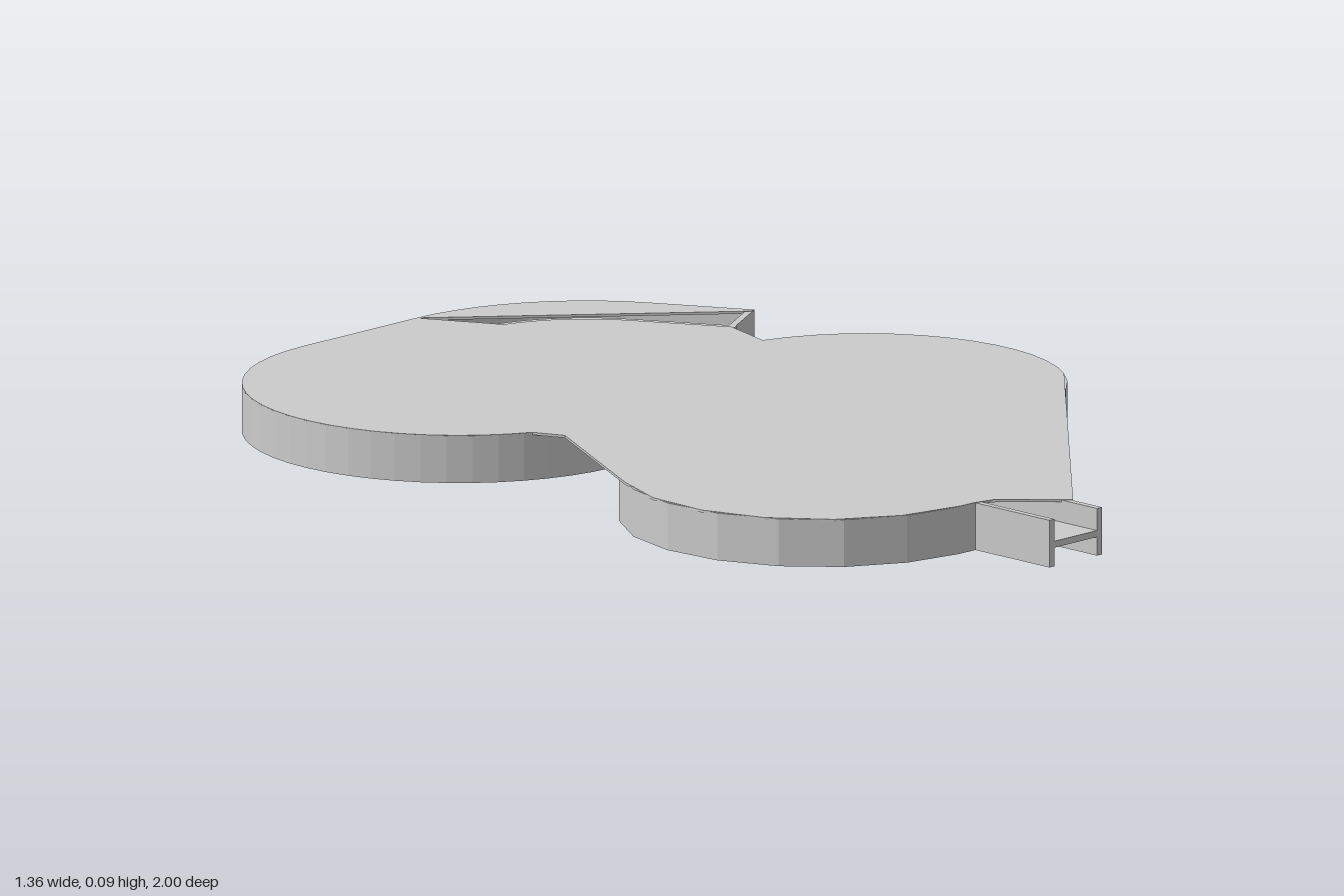
import * as THREE from 'three';

const H = 0.095;       // overall height
const HALF = 0.073;    // half width of the channel
const WALL = 0.014;    // wall thickness
const material = new THREE.MeshStandardMaterial({ color: 0xcccccc, flatShading: true });

// Bend centres [x, z] and centreline radii, in order along the channel
const B0 = [0.05, -0.54, 0.387];
const B1 = [-0.262, -0.58, 0.347];
const B2 = [0.29, -0.02, 0.317];
const B3 = [-0.275, 0.41, 0.317];

// Points on a bend, angles in degrees measured from +x towards +z
function arc([cx, cz, r], offset, from, to, n) {
  return Array.from({ length: n + 1 }, (_, i) => {
    const a = THREE.MathUtils.degToRad(from + (to - from) * i / n);
    return [cx + (r + offset) * Math.cos(a), cz + (r + offset) * Math.sin(a)];
  });
}

// Polyline moved sideways with mitred corners
function offsetLine(line, d) {
  const normal = (a, b) => {
    const l = Math.hypot(b[0] - a[0], b[1] - a[1]);
    return [-(b[1] - a[1]) / l, (b[0] - a[0]) / l];
  };
  return line.map((p, i) => {
    const n0 = normal(line[Math.max(i - 1, 0)], line[Math.max(i, 1)]);
    const last = line.length - 1;
    const n1 = normal(line[Math.min(i, last - 1)], line[Math.min(i + 1, last)]);
    const k = d / (1 + n0[0] * n1[0] + n0[1] * n1[1]);
    return [p[0] + (n0[0] + n1[0]) * k, p[1] + (n0[1] + n1[1]) * k];
  });
}

// Plan outline extruded from y0 to y1
function slab(name, outline, y0, y1, hole) {
  const shape = new THREE.Shape(outline.map(([x, z]) => new THREE.Vector2(x, -z)));
  if (hole) shape.holes.push(new THREE.Path().absarc(hole[0], -hole[1], hole[2], 0, Math.PI * 2, true));
  const geo = new THREE.ExtrudeGeometry(shape, { depth: y1 - y0, bevelEnabled: false, curveSegments: 12 });
  geo.rotateX(-Math.PI / 2).translate(0, y0, 0);
  const mesh = new THREE.Mesh(geo, material);
  mesh.name = name;
  return mesh;
}

export function createModel() {
  const group = new THREE.Group();
  group.name = 'serpentineChannel';

  // Centreline from the closed end, through four bends, to the open spout
  const end = [0.492, -0.545];
  const path = [
    end,
    ...arc(B0, 0, -28, -90, 10),
    ...arc(B1, 0, -90, -283, 28),
    ...arc(B2, 0, -103, 117, 24),
    ...arc(B3, 0, -63, -268, 11),
    [-0.175, 0.73],
    [-0.175, 1],
  ];
  const strip = (a, b) => [...offsetLine(path, a), ...offsetLine(path, b).reverse()];

  // Side walls and the raised floor with its drain hole
  group.add(slab('leftWall', strip(HALF - WALL, HALF), 0, H - 0.001));
  group.add(slab('rightWall', strip(-HALF, -HALF + WALL), 0, H - 0.001));
  group.add(slab('channelFloor', strip(-HALF + WALL, HALF - WALL), 0.037, 0.05, [0.458, -0.604, 0.048]));

  // Wall across the closed end
  const stub = [end, [end[0] - 0.48 * WALL, end[1] - 0.88 * WALL]];
  group.add(slab('endWall', [...offsetLine(stub, HALF), ...offsetLine(stub, -HALF).reverse()], 0, H - 0.001));

  // Thin cover over the whole loop, open at the two ends
  const cover = [
    [0.05, -1],
    ...arc(B1, HALF, -90, -244, 22),
    [-0.42, -0.14],
    ...arc(B3, HALF, -148, -268, 6),
    [-0.25, 0.8], [-0.21, 0.81], [-0.1, 0.92],
    ...arc(B2, HALF, 35, -75, 14),
    [0.425, -0.515],
    ...arc(B0, -HALF, -28, -75, 8),
  ];
  group.add(slab('coverPlate', cover, H - 0.005, H));

  // Cover segment along the outside of the closed end
  const rim = [...arc(B0, HALF, -90, -28, 10), [0.554, -0.578], [0.54, -0.575]];
  group.add(slab('rimCover', rim, H - 0.005, H));

  return group;
}
